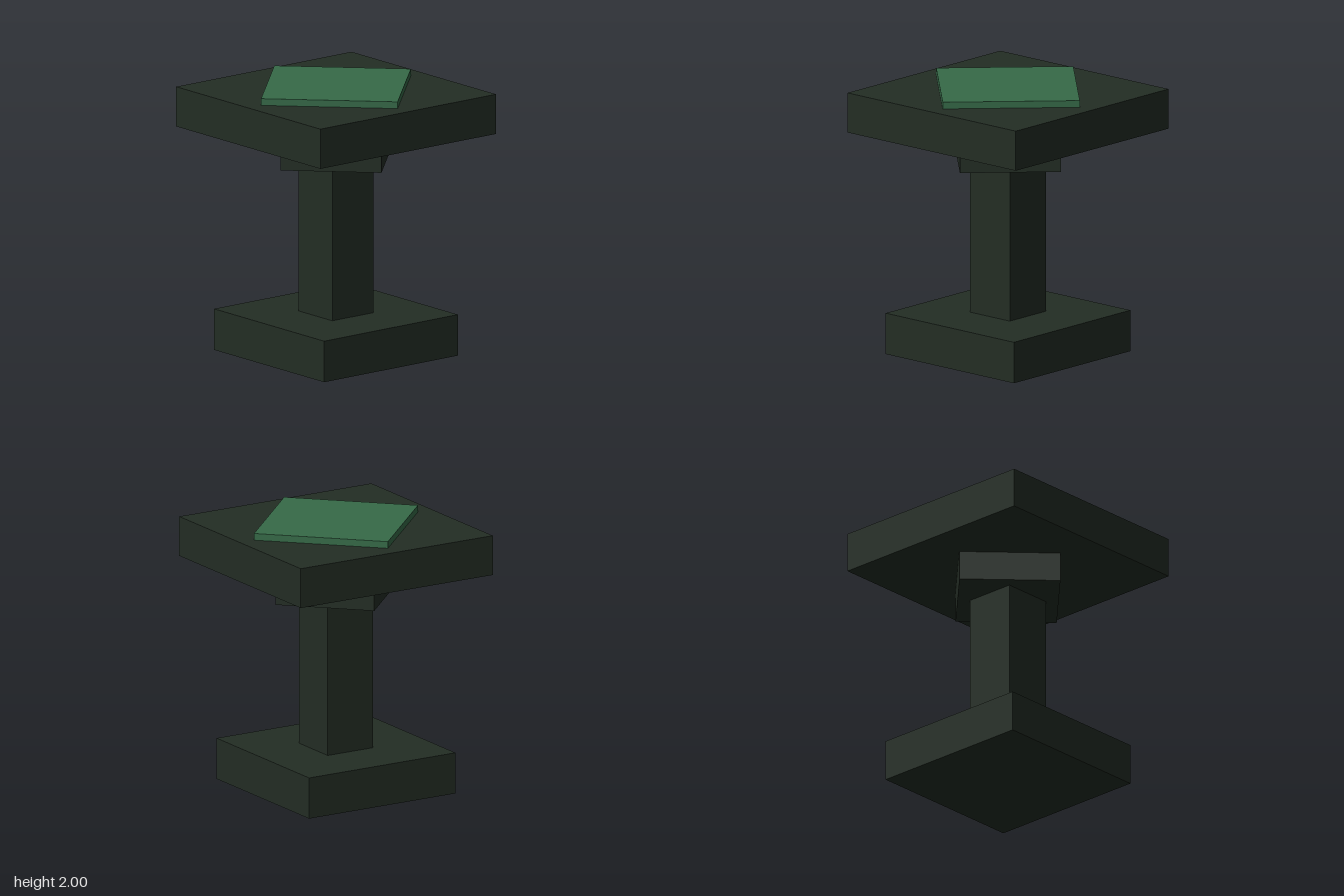
import * as THREE from 'three';

export function createModel() {
  const model = new THREE.Group();
  model.name = 'pedestal';

  const darkStone = new THREE.MeshStandardMaterial({ color: 0x232d24 });
  darkStone.name = 'darkStone';
  const greenInlay = new THREE.MeshStandardMaterial({ color: 0x366a48 });
  greenInlay.name = 'greenInlay';

  // Square block from y0 to y1, optionally turned about the vertical axis
  function block(name, width, y0, y1, material, turn = 0) {
    const mesh = new THREE.Mesh(new THREE.BoxGeometry(width, y1 - y0, width), material);
    mesh.name = name;
    mesh.position.y = (y0 + y1) / 2;
    mesh.rotation.y = turn;
    model.add(mesh);
  }

  block('base', 1.25, 0, 0.305, darkStone);
  block('column', 0.386, 0.305, 1.437, darkStone);
  // Collar and top plate sit diagonally to the slabs
  block('collar', 0.73, 1.437, 1.655, darkStone, Math.PI / 4);
  block('topSlab', 1.64, 1.655, 1.95, darkStone);
  block('topPlate', 0.99, 1.95, 2, greenInlay, Math.PI / 4);

  return model;
}
